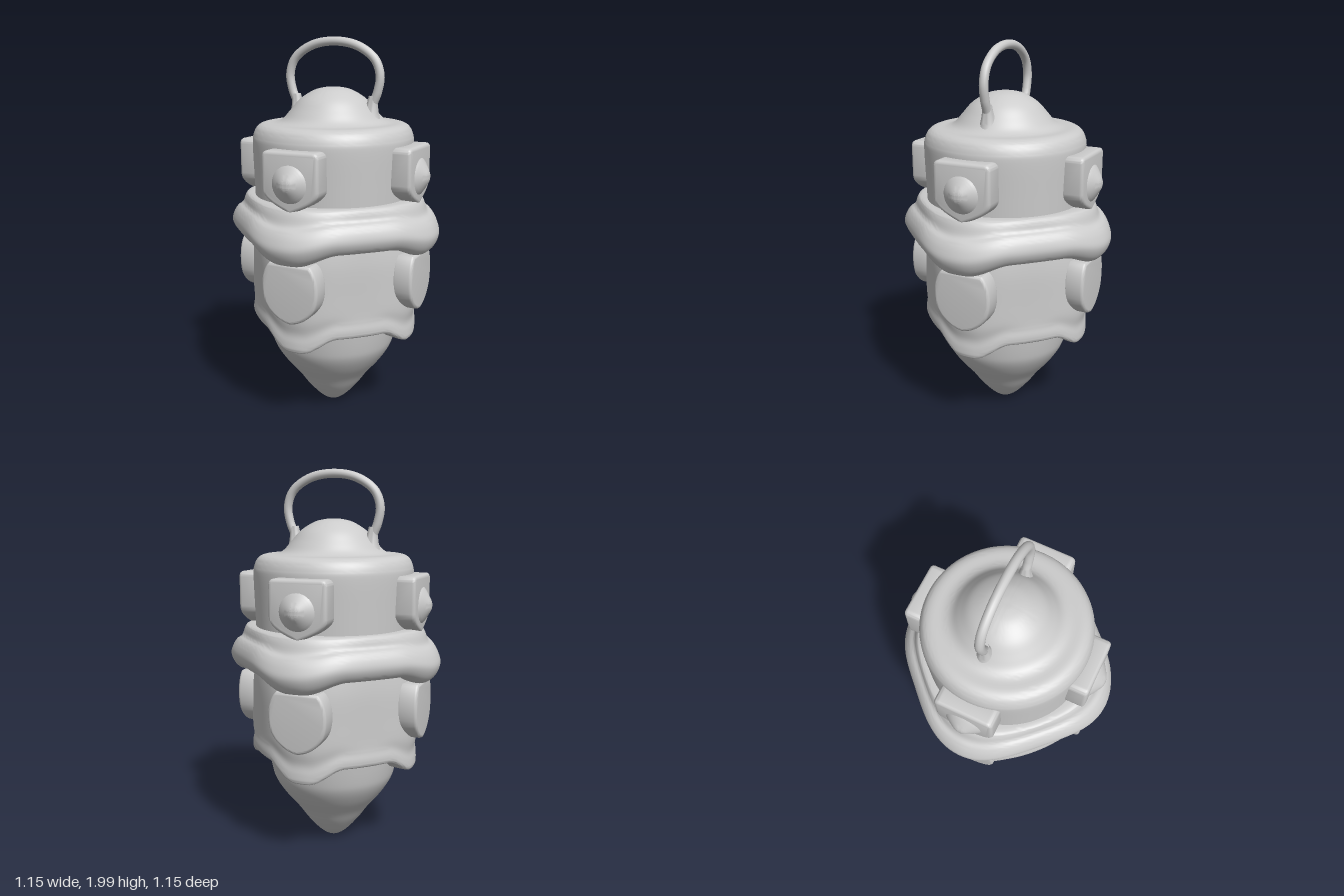
import * as THREE from 'three';
import { mergeVertices, toCreasedNormals } from 'three/addons/utils/BufferGeometryUtils.js';

const material = new THREE.MeshStandardMaterial({ color: 0xcccccc });

function addMesh(parent, geometry, name) {
  const mesh = new THREE.Mesh(geometry, material);
  mesh.name = name;
  parent.add(mesh);
  return mesh;
}

// Weld and smooth, keeping only sharp edges
function smooth(geometry, crease = 0.9) {
  geometry.deleteAttribute('normal');
  geometry.deleteAttribute('uv');
  return toCreasedNormals(mergeVertices(geometry, 1e-4), crease);
}

// Smooth turned profile through [radius, y] points, listed bottom to top
function turned(points, segments = 64) {
  const curve = new THREE.SplineCurve(points.map(([r, y]) => new THREE.Vector2(r, y)));
  const profile = curve.getPoints(points.length * 4);
  profile.forEach((p) => { p.x = Math.max(p.x, 0.0005); });
  return smooth(new THREE.LatheGeometry(profile, segments));
}

// Four-sided ring: each row is [radius, y] on the axes, then [radius, y] on the diagonals
function fourSided(rows) {
  const pair = (i) => new THREE.SplineCurve(rows.map((r) => new THREE.Vector2(r[i], r[i + 1]))).points;
  const axis = pair(0), diagonal = pair(2);
  const steps = rows.length * 4;
  const axisCurve = new THREE.SplineCurve(axis), diagonalCurve = new THREE.SplineCurve(diagonal);
  const geometry = new THREE.LatheGeometry(axis.concat(Array(steps + 1 - axis.length).fill(axis[0])), 128);
  const position = geometry.attributes.position;
  const a = new THREE.Vector2(), d = new THREE.Vector2();
  for (let i = 0; i < position.count; i++) {
    const column = Math.floor(i / (steps + 1)), t = (i % (steps + 1)) / steps;
    const phi = (column / 128) * Math.PI * 2;
    const quarter = Math.PI / 2;
    const offAxis = Math.abs(phi - Math.round(phi / quarter) * quarter);
    axisCurve.getPoint(t, a);
    diagonalCurve.getPoint(t, d);
    const bulge = (1 + Math.cos(4 * phi)) / 2;
    const dip = 1 - THREE.MathUtils.smoothstep(offAxis, 0.08, 0.5);
    const r = THREE.MathUtils.lerp(d.x, a.x, bulge);
    position.setXYZ(i, r * Math.sin(phi), THREE.MathUtils.lerp(d.y, a.y, dip), r * Math.cos(phi));
  }
  return smooth(geometry);
}

// Bevelled shield plate facing +z, its outer face at zFront
function plate(shape, zBack, zFront, bevel) {
  const geometry = new THREE.ExtrudeGeometry(shape, {
    depth: zFront - zBack - 2 * bevel, bevelThickness: bevel, bevelSize: bevel,
    bevelOffset: -bevel, bevelSegments: 4, curveSegments: 10,
  });
  geometry.translate(0, 0, zBack + bevel);
  return smooth(geometry, 0.7);
}

function upperShield() {
  const s = new THREE.Shape();
  s.moveTo(-0.12, 1.475);
  s.lineTo(0.12, 1.475);
  s.quadraticCurveTo(0.15, 1.475, 0.152, 1.445);
  s.lineTo(0.152, 1.29);
  s.bezierCurveTo(0.15, 1.23, 0.05, 1.2, 0, 1.175);
  s.bezierCurveTo(-0.05, 1.2, -0.15, 1.23, -0.152, 1.29);
  s.lineTo(-0.152, 1.445);
  s.quadraticCurveTo(-0.15, 1.475, -0.12, 1.475);
  return s;
}

function lowerShield() {
  const s = new THREE.Shape();
  s.moveTo(-0.11, 0.93);
  s.lineTo(0.11, 0.93);
  s.bezierCurveTo(0.15, 0.9, 0.17, 0.8, 0.14, 0.72);
  s.bezierCurveTo(0.11, 0.66, 0.05, 0.625, 0, 0.62);
  s.bezierCurveTo(-0.05, 0.625, -0.11, 0.66, -0.14, 0.72);
  s.bezierCurveTo(-0.17, 0.8, -0.15, 0.9, -0.11, 0.93);
  return s;
}

export function createModel() {
  const model = new THREE.Group();
  model.name = 'lanternOrnament';

  // Pointed bottom
  addMesh(model, turned([[0, 0.005], [0.04, 0.015], [0.09, 0.055], [0.15, 0.125], [0.2, 0.195],
    [0.27, 0.28], [0.32, 0.36], [0.34, 0.43], [0.36, 0.56]]), 'pointedBase');

  // Lower drum with a wavy skirt
  addMesh(model, fourSided([
    [0.32, 0.455, 0.33, 0.54], [0.43, 0.45, 0.405, 0.53], [0.455, 0.46, 0.425, 0.54],
    [0.455, 0.5, 0.428, 0.57], [0.448, 0.55, 0.422, 0.61], [0.458, 0.62, 0.42, 0.66],
    [0.455, 0.72, 0.42, 0.75], [0.445, 0.88, 0.42, 0.9], [0.42, 1.0, 0.41, 1.02],
  ]), 'lowerDrum');

  // Wavy band around the middle
  addMesh(model, fourSided([
    [0.41, 0.935, 0.4, 1.0], [0.5, 0.925, 0.455, 0.985], [0.55, 0.95, 0.49, 1.0],
    [0.577, 1.01, 0.512, 1.045], [0.565, 1.06, 0.505, 1.09], [0.54, 1.1, 0.485, 1.125],
    [0.51, 1.125, 0.46, 1.145], [0.49, 1.175, 0.45, 1.18], [0.465, 1.198, 0.435, 1.198],
    [0.38, 1.2, 0.38, 1.2],
  ]), 'middleBand');

  // Upper drum, shoulder and dome
  addMesh(model, turned([[0.41, 1.15], [0.415, 1.3], [0.42, 1.46], [0.415, 1.51], [0.395, 1.55],
    [0.36, 1.568], [0.3, 1.572], [0.26, 1.59], [0.22, 1.635], [0.17, 1.69], [0.1, 1.733],
    [0.04, 1.748], [0, 1.75]], 96), 'upperDrumAndDome');

  // Shields and bosses on all four sides
  const upper = plate(upperShield(), 0.36, 0.485, 0.018);
  const lower = plate(lowerShield(), 0.4, 0.505, 0.016);
  const boss = turned([[0.105, -0.01], [0.085, 0.008], [0.055, 0.028], [0.025, 0.045], [0, 0.05]], 32);
  for (let i = 0; i < 4; i++) {
    const side = new THREE.Group();
    side.name = 'sideOrnament' + (i + 1);
    side.rotation.y = (i * Math.PI) / 2;
    addMesh(side, upper, 'upperShield');
    addMesh(side, lower, 'lowerShield');
    const knob = addMesh(side, boss, 'boss');
    knob.position.set(0, 1.32, 0.483);
    knob.rotation.x = Math.PI / 2;
    model.add(side);
  }

  // Hanging loop
  const half = [[0.215, 1.58], [0.217, 1.66], [0.243, 1.73], [0.255, 1.81], [0.225, 1.89], [0.13, 1.955]];
  const path = [...half.map(([x, y]) => [-x, y]), [0, 1.977], ...half.slice().reverse()];
  const curve = new THREE.CatmullRomCurve3(path.map(([x, y]) => new THREE.Vector3(x, y, -0.008)));
  addMesh(model, new THREE.TubeGeometry(curve, 80, 0.023, 14), 'hangingLoop');

  // Flared roots where the loop meets the dome
  for (const x of [-1, 1]) {
    const root = addMesh(model, turned([[0.06, 0], [0.043, 0.04], [0.03, 0.09], [0.022, 0.14]], 24), 'loopRoot');
    root.position.set(x * 0.205, 1.57, -0.008);
    root.rotation.z = -x * 0.1;
  }
  return model;
}
